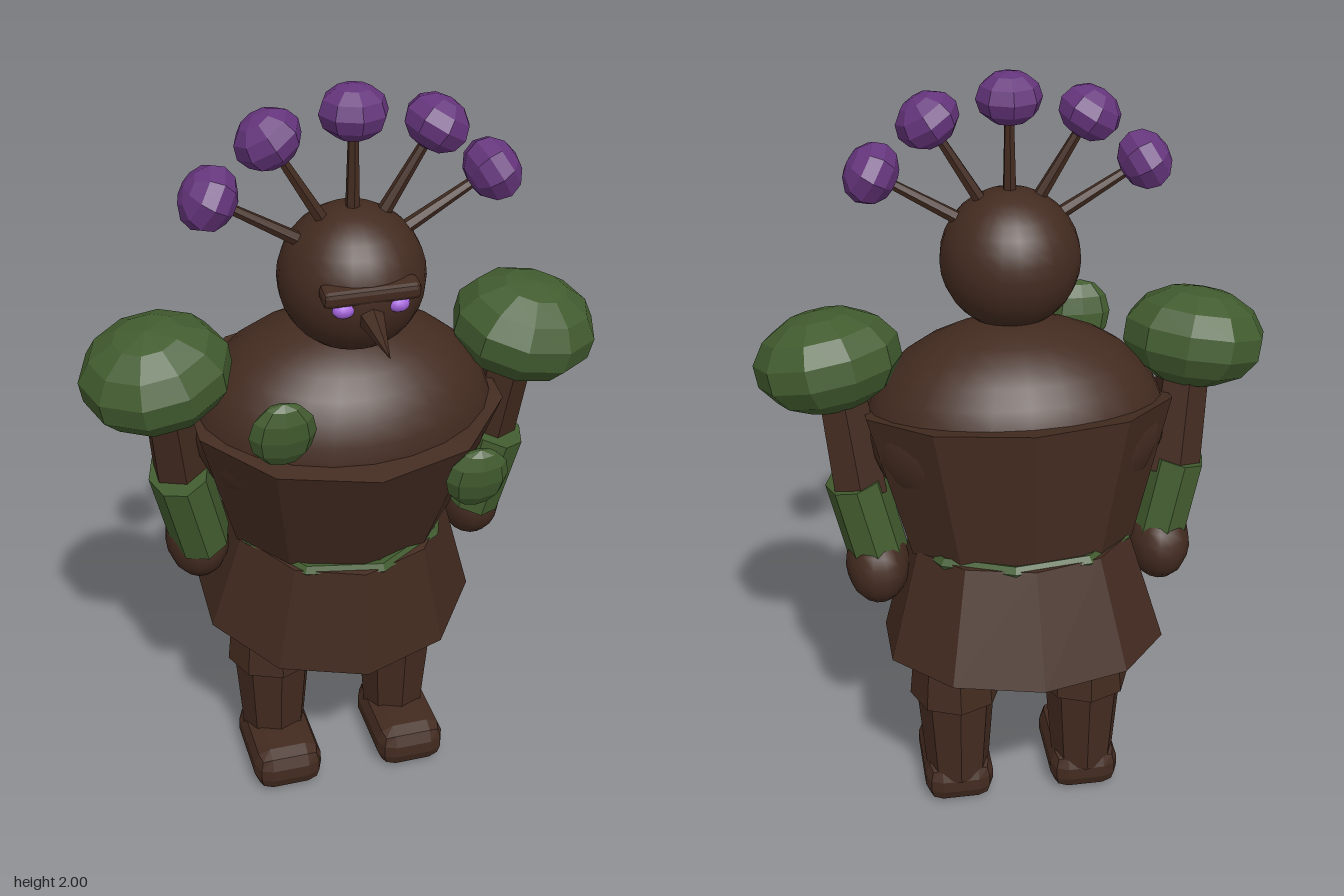
import * as THREE from 'three';
import { RoundedBoxGeometry } from 'three/addons/geometries/RoundedBoxGeometry.js';

const mat = (name, color) => Object.assign(new THREE.MeshStandardMaterial({ color }), { name });

export function createModel() {
  const bark = mat('bark brown', 0x432b20);
  const moss = mat('moss green', 0x425c2f);
  const bloom = mat('blossom purple', 0x65357c);
  const glow = mat('eye violet', 0xa565dd);
  const model = new THREE.Group();
  model.name = 'barkGuardian';
  const TILT = 0.18;

  // faceted normals for low-poly parts
  const flat = (geo) => {
    const g = geo.index ? geo.toNonIndexed() : geo;
    g.computeVertexNormals();
    return g;
  };
  const add = (name, geo, material, pos, rot = [0, 0, 0], scale = [1, 1, 1]) => {
    const m = new THREE.Mesh(geo, material);
    m.name = name;
    m.position.set(...pos);
    m.rotation.set(...rot);
    m.scale.set(...scale);
    model.add(m);
    return m;
  };
  const ball = (w = 10, h = 7) => flat(new THREE.SphereGeometry(1, w, h));
  // tapered limb between two points, a = upper end
  const limb = (name, a, b, rA, rB, sides, material, zScale = 1) => {
    const A = new THREE.Vector3(...a), B = new THREE.Vector3(...b);
    const dir = A.clone().sub(B);
    const m = add(name, flat(new THREE.CylinderGeometry(rA, rB, dir.length(), sides)), material,
      A.clone().add(B).multiplyScalar(0.5).toArray(), [0, 0, 0], [1, 1, zScale]);
    m.quaternion.setFromUnitVectors(new THREE.Vector3(0, 1, 0), dir.normalize());
    return m;
  };

  // torso, leaning forward
  add('torso', new THREE.SphereGeometry(1, 24, 16), bark, [0, 1.13, 0.04], [TILT, 0, 0], [0.385, 0.275, 0.29]);
  add('chestPlate', flat(new THREE.CylinderGeometry(0.343, 0.255, 0.375, 10)), bark,
    [0, 1.005, 0.022], [TILT, 0, 0], [1.18, 1, 1]);
  add('skirt', flat(new THREE.CylinderGeometry(0.29, 0.375, 0.285, 10)), bark, [0, 0.69, -0.038], [TILT, 0, 0]);
  const belt = new THREE.TorusGeometry(0.27, 0.018, 5, 9);
  belt.rotateX(Math.PI / 2);
  add('mossBelt', flat(belt), moss, [0, 0.825, -0.013], [TILT, 0, 0], [1.02, 1, 1]);

  // moss clumps on the chest
  add('chestMossRight', ball(8, 6), moss, [-0.227, 1.275, 0.355], [0.2, 0, 0], [0.08, 0.09, 0.038]);
  add('chestMossLeft', ball(8, 6), moss, [0.265, 1.053, 0.318], [0.2, 0, 0], [0.08, 0.088, 0.038]);

  // head and face
  add('head', new THREE.SphereGeometry(0.176, 24, 16), bark, [0, 1.54, 0.125]);
  add('brow', flat(new RoundedBoxGeometry(0.23, 0.04, 0.055, 1, 0.012)), bark, [0, 1.567, 0.278], [0.15, 0, 0]);
  const beak = new THREE.ConeGeometry(0.036, 0.17, 6);
  beak.rotateX(Math.PI / 2);
  add('beak', flat(beak), bark, [0, 1.492, 0.352], [0.2, 0, 0]);

  // crest of stalks with blossoms
  const root = new THREE.Vector3(0, 1.57, 0.13);
  [[-0.333, 1.77], [-0.195, 1.893], [0, 1.937], [0.195, 1.893], [0.333, 1.77]].forEach(([x, y], i) => {
    const tip = [x, y, 0.135];
    limb('stalk' + i, tip, root.toArray(), 0.011, 0.021, 6, bark);
    const angle = -Math.atan2(x, y - root.y);
    add('blossom' + i, ball(8, 6), bloom, tip, [0, 0, angle], [0.081, 0.064, 0.081]);
  });

  // mirrored parts
  for (const s of [-1, 1]) {
    const side = s < 0 ? 'Right' : 'Left';
    add('eye' + side, new THREE.SphereGeometry(1, 10, 8), glow, [s * 0.065, 1.532, 0.285],
      [0, 0, 0], [0.027, 0.02, 0.02]);

    // arm
    add('shoulderMoss' + side, ball(10, 7), moss, [s * 0.465, 1.32, 0.07], [TILT, 0, -s * 0.17], [0.187, 0.128, 0.176]);
    limb('upperArm' + side, [s * 0.44, 1.28, 0.055], [s * 0.405, 0.98, 0], 0.066, 0.075, 6, bark, 1.1);
    limb('bracer' + side, [s * 0.418, 1.01, 0.022], [s * 0.368, 0.795, -0.002], 0.078, 0.078, 8, moss, 1.4);
    add('hand' + side, new THREE.SphereGeometry(1, 14, 10), bark, [s * 0.373, 0.775, -0.02], [0, 0, 0], [0.083, 0.105, 0.112]);

    // leg
    const x = s * 0.178;
    limb('thigh' + side, [x, 0.66, -0.025], [x, 0.345, -0.028], 0.095, 0.125, 8, bark);
    limb('shin' + side, [x, 0.36, -0.028], [x, 0.08, -0.035], 0.108, 0.086, 8, bark);
    add('foot' + side, flat(new RoundedBoxGeometry(0.19, 0.125, 0.285, 1, 0.045)), bark, [x, 0.0625, 0.03]);
  }
  return model;
}
